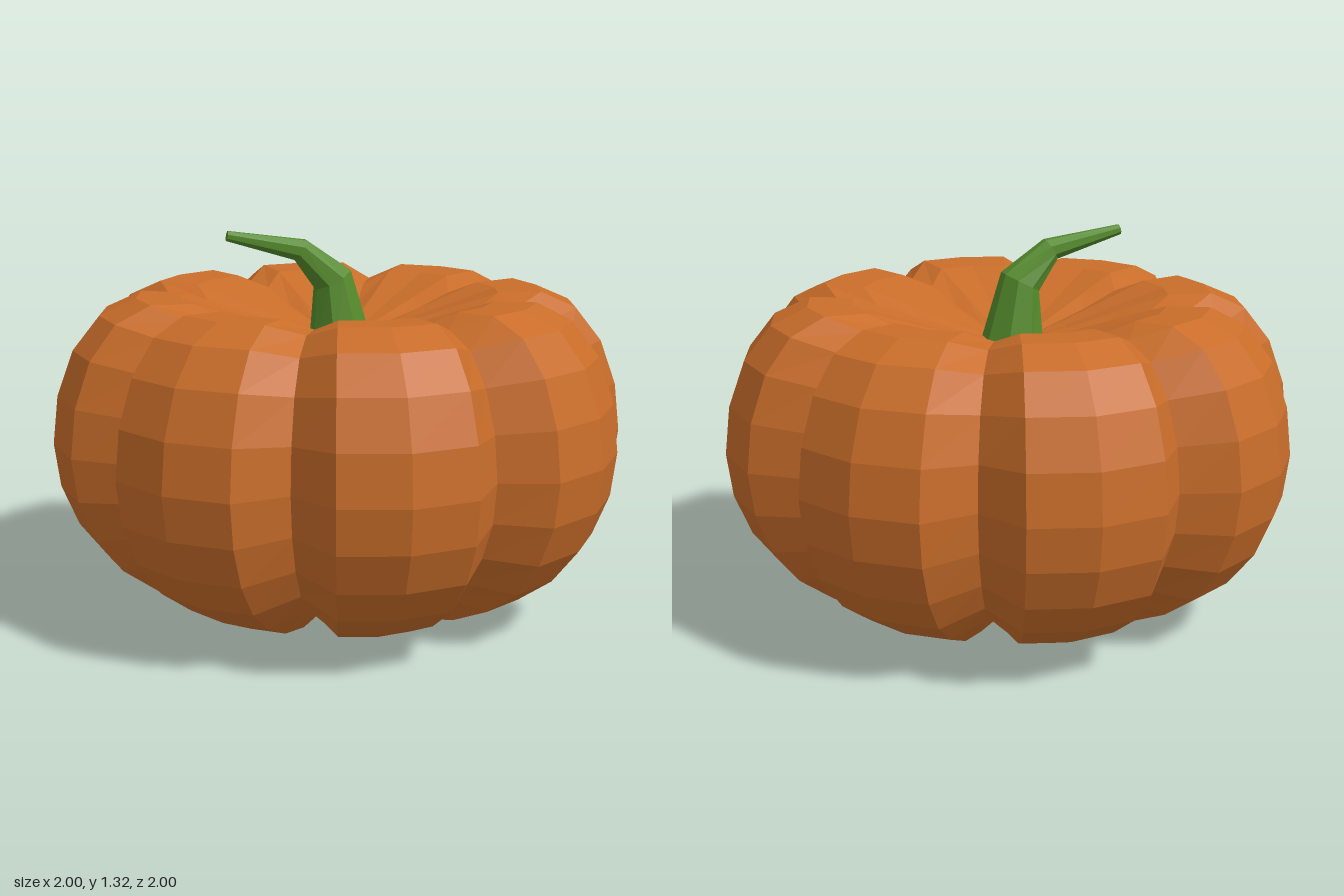
import * as THREE from 'three';

// Skin a closed surface: rows run bottom to top, columns run round the y axis.
function loft(name, color, rows, cols, pointAt) {
  const pos = [], index = [];
  for (let i = 0; i < rows; i++)
    for (let j = 0; j < cols; j++) pos.push(...pointAt(i, j).toArray());
  for (let i = 0; i < rows - 1; i++)
    for (let j = 0; j < cols; j++) {
      const k = (j + 1) % cols;
      const a = i * cols + j, b = i * cols + k, c = b + cols, d = a + cols;
      if (i > 0) index.push(a, b, c); // the first and last rows may be poles
      else index.push(a, b, c);
      index.push(a, c, d);
    }
  const geo = new THREE.BufferGeometry();
  geo.setAttribute('position', new THREE.Float32BufferAttribute(pos, 3));
  geo.setIndex(index);
  const flat = geo.toNonIndexed();
  flat.computeVertexNormals();
  const mesh = new THREE.Mesh(flat, new THREE.MeshStandardMaterial({ color, flatShading: true }));
  mesh.name = name;
  return mesh;
}

// Ribbed fruit: a dimpled, flattened ball with eight lobes of four columns each.
function makeBody() {
  const heights = [0.12, 0.05, 0, 0.04, 0.11, 0.2, 0.32, 0.46, 0.61,
    0.775, 0.93, 1.045, 1.1, 1.095, 1.04, 0.98, 0.93];
  const mid = 0.61;
  const lobe = [
    { angle: 0, out: 1, tall: 1 },        // crest
    { angle: 13.1, out: 0.978, tall: 1 }, // shoulder
    { angle: 22.5, out: 0.852, tall: 0.91 }, // groove
    { angle: 31.9, out: 0.978, tall: 1 }, // shoulder
  ];
  return loft('pumpkinBody', 0xc96d2a, heights.length, 32, (i, j) => {
    const { angle, out, tall } = lobe[j % 4];
    const a = THREE.MathUtils.degToRad(Math.floor(j / 4) * 45 + angle);
    const ring = Math.sin((i / (heights.length - 1)) * Math.PI);
    const squash = THREE.MathUtils.lerp(1, tall, Math.min(1, ring * 2.5));
    const r = ring * out;
    return new THREE.Vector3(r * Math.sin(a), mid + (heights[i] - mid) * squash, r * Math.cos(a));
  });
}

// Tapered, bent stalk of eight sides, leaning to the front and right.
function makeStem() {
  const rings = [
    { at: [0, 0.92, 0], r: 0.112, dir: [0, 1, 0] },
    { at: [-0.02, 1.145, 0.025], r: 0.073, dir: [-0.35, 1, 0.4] },
    { at: [-0.09, 1.25, 0.115], r: 0.042, dir: [-0.65, 0.6, 0.7] },
    { at: [-0.263, 1.305, 0.3], r: 0.018, dir: [-0.65, 0.2, 0.7] },
  ];
  const up = new THREE.Vector3(0, 1, 0);
  const sides = 8;
  // The extra last row closes the tip.
  return loft('stem', 0x558b2c, rings.length + 1, sides, (i, j) => {
    const { at, r, dir } = rings[Math.min(i, rings.length - 1)];
    const radius = i < rings.length ? r : 0;
    const a = ((j + 0.5) / sides) * Math.PI * 2;
    const turn = new THREE.Quaternion().setFromUnitVectors(up, new THREE.Vector3(...dir).normalize());
    return new THREE.Vector3(radius * Math.sin(a), 0, radius * Math.cos(a))
      .applyQuaternion(turn)
      .add(new THREE.Vector3(...at));
  });
}

export function createModel() {
  const model = new THREE.Group();
  model.name = 'pumpkin';
  model.add(makeBody(), makeStem());
  return model;
}
